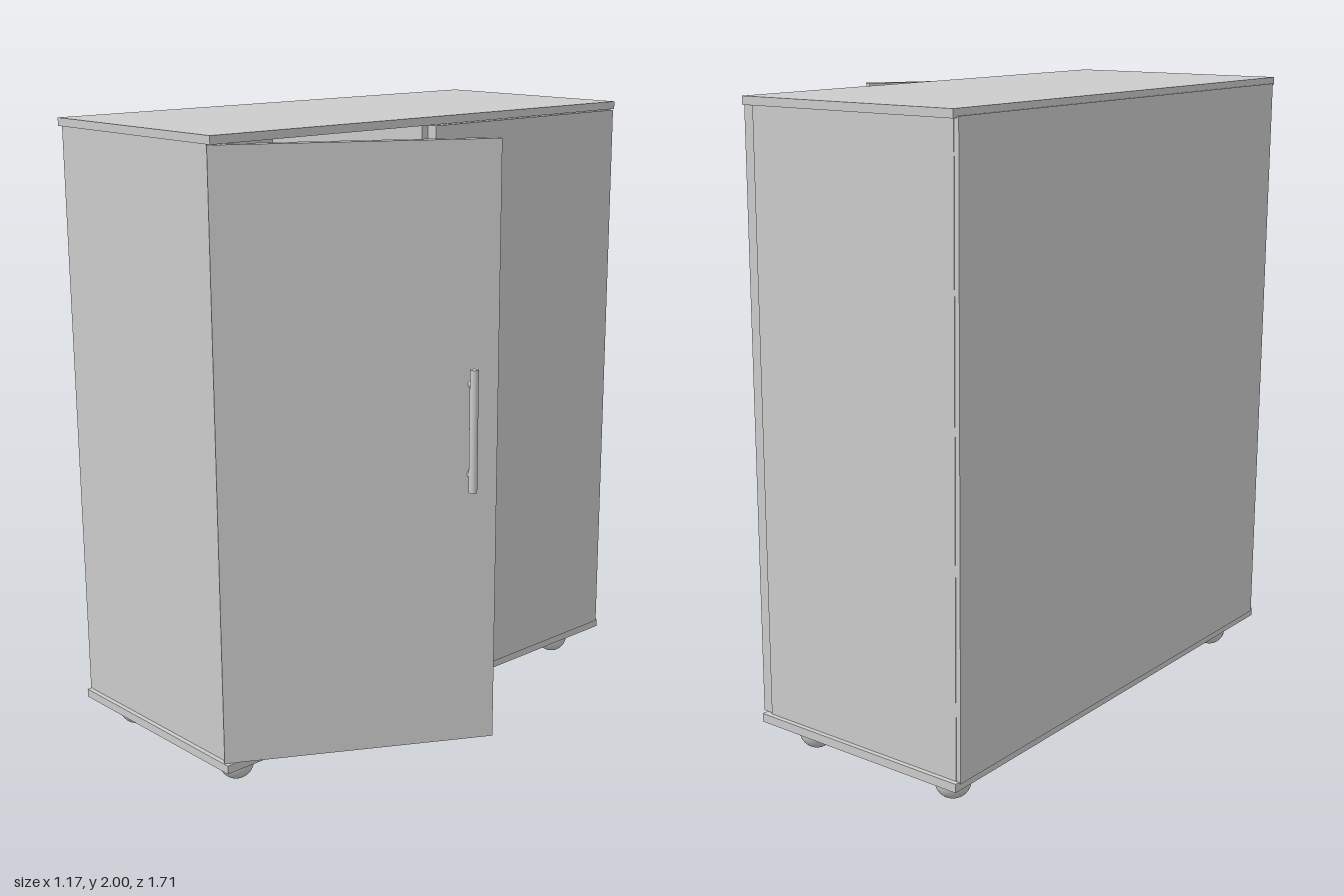
import * as THREE from 'three';

const material = new THREE.MeshStandardMaterial({ color: 0xcccccc });

function add(parent, name, geometry, x, y, z) {
  const mesh = new THREE.Mesh(geometry, material);
  mesh.name = name;
  mesh.position.set(x, y, z);
  parent.add(mesh);
  return mesh;
}

// Box given by its minimum and maximum on each axis
function panel(parent, name, [x0, x1], [y0, y1], [z0, z1]) {
  return add(parent, name, new THREE.BoxGeometry(x1 - x0, y1 - y0, z1 - z0),
    (x0 + x1) / 2, (y0 + y1) / 2, (z0 + z1) / 2);
}

const BOTTOM = 0.12, TOP = 1.975;
const BACK = -0.57, FRONT = 0.155;

// Door with its hinge at the local origin; dir is the z direction towards the free edge
function makeDoor(name, dir) {
  const door = new THREE.Group();
  door.name = name;
  const width = 0.84, thickness = 0.034;
  add(door, 'doorPanel', new THREE.BoxGeometry(thickness, TOP - BOTTOM - 0.004, width),
    -thickness / 2, (TOP + BOTTOM) / 2, dir * width / 2);

  const handle = new THREE.Group();
  handle.name = 'handle';
  handle.position.set(0, 1.122, dir * 0.758);
  add(handle, 'handleBar', new THREE.CylinderGeometry(0.013, 0.013, 0.375, 24), 0.029, 0, 0);
  for (const y of [-0.138, 0.138]) {
    const post = add(handle, 'handlePost', new THREE.CylinderGeometry(0.011, 0.011, 0.034, 20), 0.013, y, 0);
    post.rotation.z = Math.PI / 2;
  }
  door.add(handle);
  return door;
}

export function createModel() {
  const wardrobe = new THREE.Group();
  wardrobe.name = 'wardrobe';

  // Carcass
  panel(wardrobe, 'topPanel', [-0.58, 0.18], [TOP, 2], [-0.855, 0.855]);
  panel(wardrobe, 'basePanel', [-0.58, 0.18], [0.093, BOTTOM], [-0.855, 0.855]);
  panel(wardrobe, 'backPanel', [-0.585, BACK], [BOTTOM - 0.005, TOP + 0.005], [-0.838, 0.838]);
  panel(wardrobe, 'sidePanel', [BACK, FRONT], [BOTTOM, TOP], [0.815, 0.84]);
  panel(wardrobe, 'sidePanel', [BACK, FRONT], [BOTTOM, TOP], [-0.84, -0.815]);
  panel(wardrobe, 'divider', [BACK, FRONT], [BOTTOM, TOP], [0.003, 0.028]);

  // Shelves in the open compartment, and a hat shelf in the closed one
  for (const y of [0.388, 0.673, 0.957, 1.778]) {
    panel(wardrobe, 'shelf', [BACK, FRONT - 0.004], [y - 0.0125, y + 0.0125], [0.028, 0.815]);
  }
  panel(wardrobe, 'shelf', [BACK, FRONT - 0.004], [1.7655, 1.7905], [-0.815, 0.003]);

  // Clothes rail
  const rail = add(wardrobe, 'clothesRail',
    new THREE.CylinderGeometry(0.016, 0.016, 0.787, 24), -0.21, 1.603, 0.4215);
  rail.rotation.x = Math.PI / 2;

  // Ball feet
  for (const x of [-0.475, 0.065]) {
    for (const z of [-0.735, 0.735]) {
      add(wardrobe, 'ballFoot', new THREE.SphereGeometry(0.055, 32, 20), x, 0.055, z);
    }
  }

  // One door closed, the other swung open by thirty degrees
  const closedDoor = makeDoor('closedDoor', 1);
  closedDoor.position.set(0.19, 0, -0.837);
  const openDoor = makeDoor('openDoor', -1);
  openDoor.position.set(0.165, 0, 0.855);
  openDoor.rotation.y = -Math.PI / 6;
  wardrobe.add(closedDoor, openDoor);

  return wardrobe;
}
